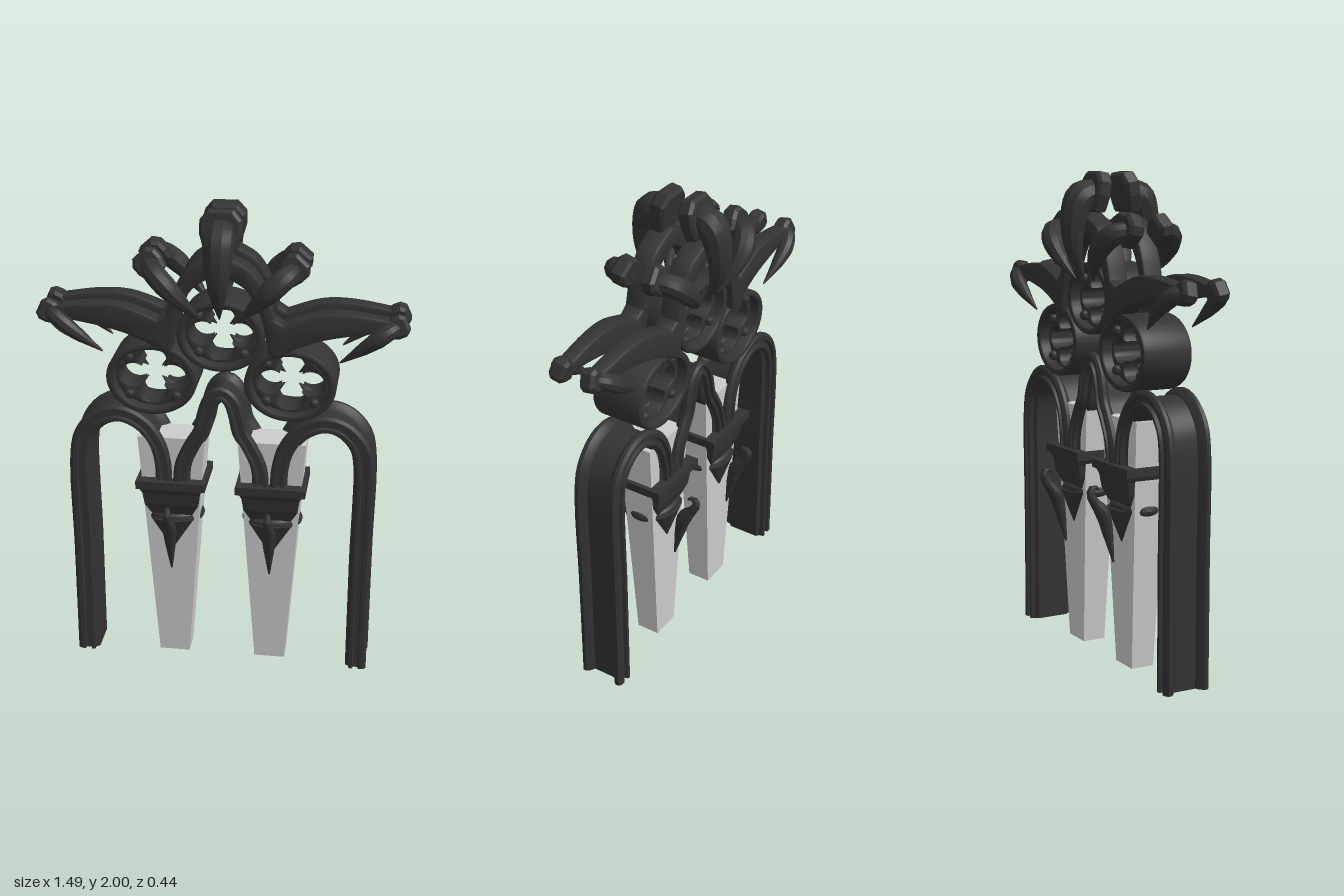
import * as THREE from 'three';
import { toCreasedNormals, mergeVertices } from 'three/addons/utils/BufferGeometryUtils.js';

const dark = new THREE.MeshStandardMaterial({ color: 0x333333, side: THREE.DoubleSide });
const stone = new THREE.MeshStandardMaterial({ color: 0xcccccc });
const V2 = (p) => new THREE.Vector2(p[0], p[1]);
const V3 = (p) => new THREE.Vector3(p[0], p[1], p[2] || 0);

function add(parent, name, geo, mat = dark, crease = 0.6) {
  const flat = geo.index ? geo.toNonIndexed() : geo;
  const mesh = new THREE.Mesh(toCreasedNormals(flat, crease), mat);
  mesh.name = name;
  parent.add(mesh);
  return mesh;
}

// Moulding section (offset across, depth), symmetric in depth, grooved on the outside
const half = [[0.15, 0.05], [0.35, 0.06], [0.5, 0.075], [0.5, 0.09], [0.35, 0.1], [0.15, 0.1],
  [0.1, 0.085], [-0.1, 0.085], [-0.15, 0.1], [-0.3, 0.1], [-0.35, 0.08], [-0.5, 0.07]];
const section = [...half, ...half.map(([n, z]) => [n, -z]).reverse()];

// Sweep the moulding along a path in the xy plane; width(t) is its breadth
function sweep(points, width, steps = 56) {
  const curve = new THREE.CatmullRomCurve3(points.map(V3));
  const pos = [], idx = [], m = section.length;
  for (let i = 0; i <= steps; i++) {
    const p = curve.getPointAt(i / steps), t = curve.getTangentAt(i / steps), w = width(i / steps);
    for (const [n, z] of section) pos.push(p.x + t.y * n * w, p.y - t.x * n * w, z);
  }
  for (let i = 0; i < steps; i++) for (let j = 0; j < m; j++) {
    const a = i * m + j, b = i * m + (j + 1) % m;
    idx.push(a, a + m, b, b, a + m, b + m);
  }
  for (const [a, b, c] of THREE.ShapeUtils.triangulateShape(section.map(V2), [])) {
    const e = steps * m;
    idx.push(a, b, c, e + a, e + c, e + b);
  }
  const g = new THREE.BufferGeometry();
  g.setAttribute('position', new THREE.Float32BufferAttribute(pos, 3));
  g.setIndex(idx);
  return g;
}

// Tapering horn: a tube whose rings are rescaled by interpolated radii
function horn(points, radii, segs = 20, sides = 10) {
  const curve = new THREE.CatmullRomCurve3(points.map(V3));
  const g = new THREE.TubeGeometry(curve, segs, 1, sides, false);
  const pos = g.attributes.position, v = new THREE.Vector3();
  for (let i = 0; i <= segs; i++) {
    const c = curve.getPointAt(i / segs);
    const u = curve.getUtoTmapping(i / segs) * (radii.length - 1);
    const k = Math.min(Math.floor(u), radii.length - 2);
    const r = THREE.MathUtils.lerp(radii[k], radii[k + 1], u - k);
    for (let j = 0; j <= sides; j++) {
      const n = i * (sides + 1) + j;
      v.fromBufferAttribute(pos, n).sub(c).multiplyScalar(r).add(c);
      pos.setXYZ(n, v.x, v.y, v.z);
    }
  }
  g.deleteAttribute('normal');
  g.deleteAttribute('uv');
  return mergeVertices(g);
}

// Box tapering from its bottom to its top size
function taperBox(y0, w0, d0, y1, w1, d1) {
  const g = new THREE.BoxGeometry(1, 1, 1), p = g.attributes.position;
  for (let i = 0; i < p.count; i++) {
    const top = p.getY(i) > 0;
    p.setXYZ(i, p.getX(i) * (top ? w1 : w0), top ? y1 : y0, p.getZ(i) * (top ? d1 : d0));
  }
  return g;
}

function ellipse(rx, ry) {
  return new THREE.Path().absellipse(0, 0, rx, ry, 0, Math.PI * 2, false, 0);
}

function extrude(outline, hole, depth, bevel, segs = 2) {
  const shape = new THREE.Shape(outline);
  if (hole) shape.holes.push(new THREE.Path(hole));
  const g = new THREE.ExtrudeGeometry(shape, { depth: depth - 2 * bevel, bevelEnabled: bevel > 0,
    bevelSize: bevel, bevelThickness: bevel, bevelOffset: -bevel, bevelSegments: segs });
  return g.translate(0, 0, bevel - depth / 2);
}

// Round drum with four-lobed tracery
function rosette(x, y, rx, ry) {
  const g = new THREE.Group();
  g.name = 'rosette';
  g.position.set(x, y, 0);
  const ring = (k) => ellipse(rx * k, ry * k).getPoints(48);
  add(g, 'rosetteDrum', extrude(ring(1), ring(0.82), 0.22, 0.012));
  const foil = [];
  for (let i = 0; i < 80; i++) {
    const a = (i / 80) * Math.PI * 2, q = Math.PI / 2, f = a - Math.round(a / q) * q;
    const r = 0.58 * Math.cos(f) + Math.sqrt(0.415 ** 2 - (0.58 * Math.sin(f)) ** 2);
    foil.push(new THREE.Vector2(Math.cos(a) * r * rx * 0.73, Math.sin(a) * r * ry * 0.77));
  }
  add(g, 'rosetteTracery', extrude(ring(0.84), foil, 0.13, 0.008));
  // Pointed cusps and buds between the lobes
  for (const sx of [-1, 1]) for (const sy of [-1, 1]) {
    const at = (k) => [sx * rx * k, sy * ry * k, 0];
    add(g, 'cusp', horn([at(0.5), at(0.32), at(0.15)], [0.022, 0.016, 0.002], 6, 6));
    for (const sz of [-1, 1]) {
      const bud = add(g, 'cuspBud', new THREE.SphereGeometry(0.021, 10, 8));
      bud.position.set(sx * rx * 0.52, sy * ry * 0.52, sz * 0.07);
    }
  }
  return g;
}

// Faceted head with a curling horn
function crocket(name, sx, sz, path, radii, w, h, angle) {
  const g = new THREE.Group();
  g.name = name;
  const [x, y] = path[0];
  add(g, 'crocketHorn', horn(path.map((p) => [p[0] * sx, p[1], p[2] * sz]), radii));
  const out = [[-0.38, -0.5], [0.38, -0.5], [0.5, -0.1], [0.5, 0.25], [0.3, 0.5], [-0.3, 0.5], [-0.5, 0.25], [-0.5, -0.1]];
  const head = add(g, 'crocketHead', extrude(out.map(([a, b]) => V2([a * w, b * h])), null, 0.065, 0.012, 1), dark, 0.2);
  head.position.set(x * sx, y, 0.068 * sz);
  head.rotation.set(-0.18 * sz, 0, -angle * sx);
  return g;
}

export function createModel() {
  const model = new THREE.Group();
  model.name = 'tracery';

  // Side arches with long outer legs, and the pointed arch between them
  const side = [[0.585, 0], [0.585, 0.5], [0.585, 0.96], [0.565, 1.04], [0.5, 1.11], [0.42, 1.13],
    [0.33, 1.09], [0.27, 1.01], [0.245, 0.92], [0.24, 0.82]];
  const sideGeo = sweep(side, (t) => 0.09 - 0.02 * Math.max(0, t - 0.5) * 2);
  add(model, 'leftArch', sideGeo);
  add(model, 'rightArch', sideGeo.clone().rotateY(Math.PI));
  const rise = [[0.165, 0.82], [0.155, 0.92], [0.115, 1.01], [0.08, 1.07], [0.062, 1.15], [0.04, 1.21]];
  const mid = [...rise, [0, 1.24], ...rise.map(([x, y]) => [-x, y]).reverse()];
  add(model, 'middleArch', sweep(mid, () => 0.07));

  // Tapered pillars with capitals
  for (const sx of [-1, 1]) {
    const g = new THREE.Group();
    g.name = 'pillarAndCapital';
    g.position.x = sx * 0.208;
    model.add(g);
    add(g, 'pillar', taperBox(0, 0.13, 0.1, 1.03, 0.28, 0.15), stone);
    add(g, 'abacus', taperBox(0.81, 0.29, 0.24, 0.845, 0.29, 0.24));
    add(g, 'abacusStep', taperBox(0.785, 0.24, 0.2, 0.81, 0.265, 0.22));
    add(g, 'bell', taperBox(0.73, 0.225, 0.185, 0.785, 0.24, 0.2));
    add(g, 'bellBase', taperBox(0.68, 0.17, 0.15, 0.73, 0.225, 0.185));
    const ring = add(g, 'capitalRing', new THREE.TorusGeometry(0.105, 0.023, 10, 32).rotateX(Math.PI / 2));
    ring.position.y = 0.662;
    ring.scale.z = 0.75;
    for (const sz of [-1, 1]) {
      const leaf = add(g, 'capitalLeaf', new THREE.CylinderGeometry(0.095, 0.006, 0.14, 16));
      leaf.position.set(0, 0.59, sz * 0.06);
      leaf.scale.z = 0.5;
      const hook = [[0.44, 0.1], [0.56, 0.125], [0.65, 0.15], [0.695, 0.185], [0.735, 0.206], [0.76, 0.19], [0.745, 0.165]];
      add(g, 'capitalHook', horn(hook.map(([y, z]) => [0, y, z * sz]),
        [0.004, 0.022, 0.032, 0.02, 0.016, 0.012, 0.004]));
    }
  }

  // Three rosettes
  model.add(rosette(0, 1.492, 0.175, 0.147), rosette(0.28, 1.298, 0.185, 0.153), rosette(-0.28, 1.298, 0.185, 0.153));

  // Front and back gables: an arch sweeping out into two wings
  const smooth = (pts) => new THREE.SplineCurve(pts.map(V2)).getPoints(18);
  const wingTop = smooth([[0.69, 1.585], [0.52, 1.61], [0.386, 1.605], [0.25, 1.558]]);
  const crown = smooth([[0.215, 1.58], [0.185, 1.68], [0.12, 1.78], [0, 1.84]]).slice(0, -1);
  const inside = smooth([[0, 1.76], [0.1, 1.7], [0.155, 1.61], [0.18, 1.52], [0.195, 1.43]]).slice(1);
  const wingLow = smooth([[0.23, 1.42], [0.3, 1.46], [0.41, 1.5], [0.57, 1.53], [0.69, 1.54]]);
  const mirror = (pts) => pts.map((p) => new THREE.Vector2(-p.x, p.y)).reverse();
  const upper = [...wingTop, ...crown], lower = [...inside, ...wingLow];
  const outline = [...upper, V2([0, 1.84]), ...mirror(upper), ...mirror(lower), V2([0, 1.76]), ...lower];
  const gable = extrude(outline, null, 0.1, 0.015).translate(0, 0, 0.085);
  const gp = gable.attributes.position;
  for (let i = 0; i < gp.count; i++) {
    gp.setZ(i, 0.035 + (gp.getZ(i) - 0.035) * (1 - 0.5 * Math.abs(gp.getX(i))));
  }
  add(model, 'frontGable', gable);
  add(model, 'backGable', gable.clone().rotateY(Math.PI));

  // Crockets on the gable, front and back
  for (const sz of [-1, 1]) {
    model.add(crocket('finial', 1, sz,
      [[0, 1.92, 0.07], [0, 1.895, 0.135], [0, 1.8, 0.168], [0, 1.69, 0.165], [0, 1.575, 0.12]],
      [0.055, 0.066, 0.054, 0.036, 0.003], 0.165, 0.16, 0));
    for (const sx of [-1, 1]) {
      model.add(crocket('shoulderCrocket', sx, sz,
        [[0.285, 1.775, 0.07], [0.255, 1.755, 0.13], [0.205, 1.71, 0.155], [0.15, 1.65, 0.15], [0.075, 1.57, 0.12]],
        [0.035, 0.045, 0.045, 0.032, 0.003], 0.115, 0.11, 0.75));
      model.add(crocket('wingCrocket', sx, sz,
        [[0.695, 1.56, 0.07], [0.665, 1.55, 0.1], [0.62, 1.52, 0.117], [0.56, 1.475, 0.115], [0.475, 1.41, 0.1]],
        [0.025, 0.034, 0.035, 0.025, 0.003], 0.09, 0.085, 1.15));
    }
  }
  return model;
}
